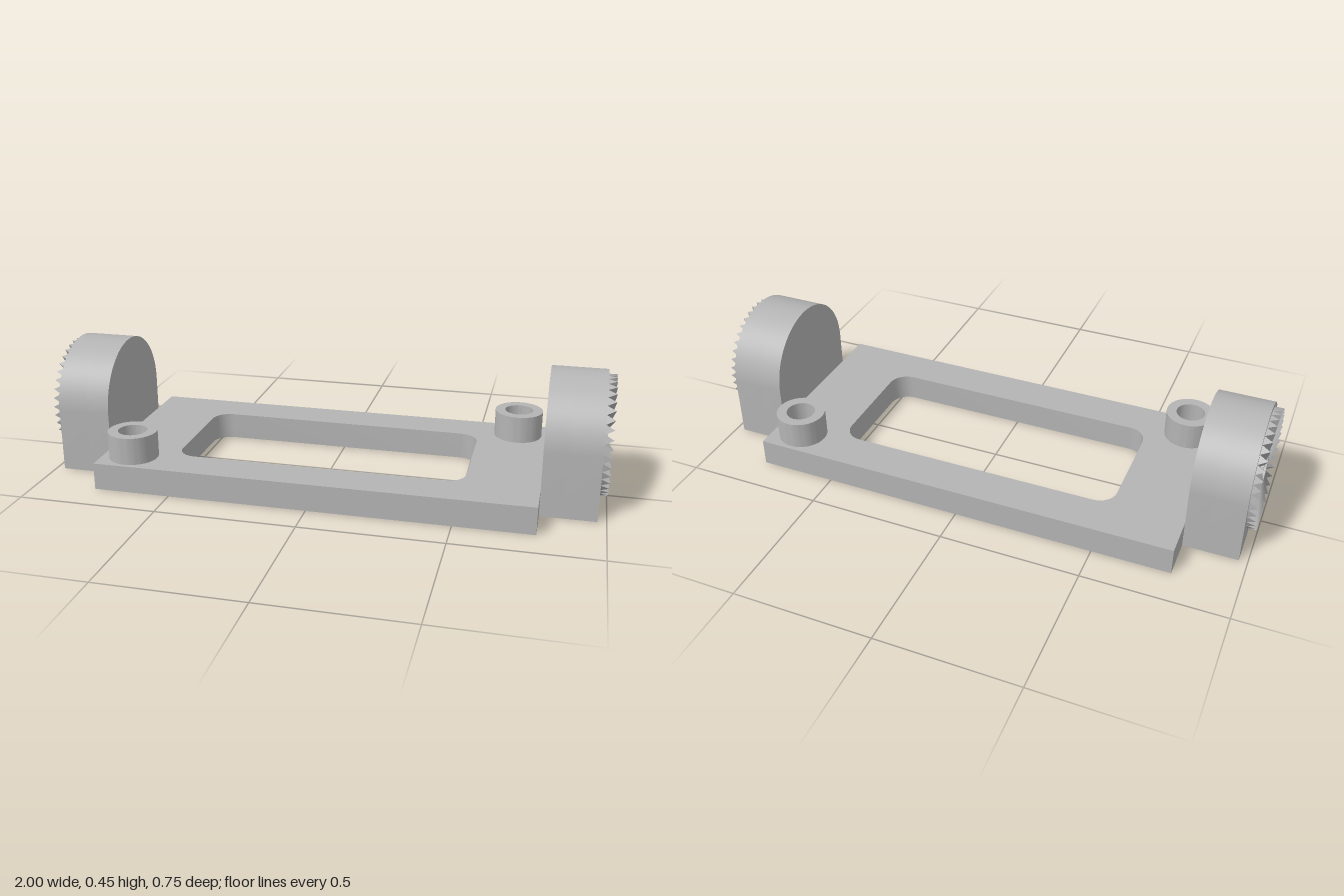
import * as THREE from 'three';
import { toCreasedNormals } from 'three/addons/utils/BufferGeometryUtils.js';

const PLATE = { x: 0.777, z: 0.373, top: 0.098 };
const ARCH_R = 0.227, BORE_R = 0.065, FACE_X = 0.97;

function extrude(shape, depth, curveSegments = 32) {
  const g = new THREE.ExtrudeGeometry(shape, { depth, curveSegments, bevelEnabled: false });
  return toCreasedNormals(g, 0.5);
}

function circle(r, Type = THREE.Path) {
  return new Type().absarc(0, 0, r, 0, Math.PI * 2, false);
}

function ringShape(outer, inner) {
  const s = circle(outer, THREE.Shape);
  s.holes.push(circle(inner));
  return s;
}

// Arch outline centred on the bore, flat at the bottom
function archShape() {
  const s = new THREE.Shape();
  s.moveTo(-ARCH_R, -0.228);
  s.lineTo(ARCH_R, -0.228);
  s.lineTo(ARCH_R, 0);
  s.absarc(0, 0, ARCH_R, 0, Math.PI, false);
  s.closePath();
  return s;
}

// Ring of radial V-shaped teeth pointing along +z
function teethGeometry(count, rIn, rOut, hIn, hOut) {
  const pos = [];
  const step = (Math.PI * 2) / count;
  const at = (r, a, z) => [r * Math.cos(a), r * Math.sin(a), z];
  const tri = (...points) => points.forEach((p) => pos.push(...p));
  for (let i = 0; i < count; i++) {
    const a0 = (i - 0.25) * step, am = a0 + step / 2, a1 = a0 + step;
    const i0 = at(rIn, a0, 0), im = at(rIn, am, hIn), i1 = at(rIn, a1, 0);
    const o0 = at(rOut, a0, 0), om = at(rOut, am, hOut), o1 = at(rOut, a1, 0);
    tri(i0, o0, om, i0, om, im);
    tri(im, om, o1, im, o1, i1);
    tri(o0, o1, om);
    tri(i1, i0, im);
  }
  const g = new THREE.BufferGeometry();
  g.setAttribute('position', new THREE.Float32BufferAttribute(pos, 3));
  g.computeVertexNormals();
  return g;
}

export function createModel() {
  const model = new THREE.Group();
  const grey = new THREE.MeshStandardMaterial({ color: 0xb4b4b4 });
  grey.name = 'plain grey';

  const add = (parent, name, geometry, x = 0, y = 0, z = 0) => {
    const mesh = new THREE.Mesh(geometry, grey);
    mesh.name = name;
    mesh.position.set(x, y, z);
    parent.add(mesh);
    return mesh;
  };

  // Base plate with a rounded rectangular window
  const plate = new THREE.Shape();
  plate.moveTo(-PLATE.x, -PLATE.z);
  plate.lineTo(PLATE.x, -PLATE.z);
  plate.lineTo(PLATE.x, PLATE.z);
  plate.lineTo(-PLATE.x, PLATE.z);
  plate.closePath();
  const hx = 0.521, hz = 0.227, r = 0.067;
  const win = new THREE.Path();
  win.absarc(hx - r, hz - r, r, 0, Math.PI / 2, false);
  win.absarc(-hx + r, hz - r, r, Math.PI / 2, Math.PI, false);
  win.absarc(-hx + r, -hz + r, r, Math.PI, Math.PI * 1.5, false);
  win.absarc(hx - r, -hz + r, r, Math.PI * 1.5, Math.PI * 2, false);
  win.closePath();
  plate.holes.push(win);
  add(model, 'basePlate', extrude(plate, PLATE.top, 3).rotateX(-Math.PI / 2));

  // Hollow posts on two opposite corners
  const post = extrude(ringShape(0.088, 0.052), 0.099).rotateX(-Math.PI / 2);
  add(model, 'rightPost', post, -0.665, PLATE.top, 0.27);
  add(model, 'leftPost', post, 0.665, PLATE.top, -0.27);

  // End brackets: solid inner half, bored outer half, collar and toothed face
  const boreDepth = 0.11;
  const inner = extrude(archShape(), FACE_X - boreDepth - PLATE.x);
  const bored = archShape();
  bored.holes.push(circle(BORE_R));
  const outer = extrude(bored, boreDepth);
  const collar = extrude(ringShape(0.084, BORE_R), 0.012);
  const teeth = teethGeometry(40, 0.084, 0.211, 0.012, 0.03);
  for (const [name, turn] of [['leftBracket', 1], ['rightBracket', -1]]) {
    const bracket = new THREE.Group();
    bracket.name = name;
    bracket.position.y = 0.228;
    bracket.rotation.y = turn * Math.PI / 2;
    add(bracket, 'bracketBack', inner, 0, 0, PLATE.x);
    add(bracket, 'bracketBoredHalf', outer, 0, 0, FACE_X - boreDepth);
    add(bracket, 'boreCollar', collar, 0, 0, FACE_X);
    add(bracket, 'lockingTeeth', teeth, 0, 0, FACE_X);
    model.add(bracket);
  }
  return model;
}
